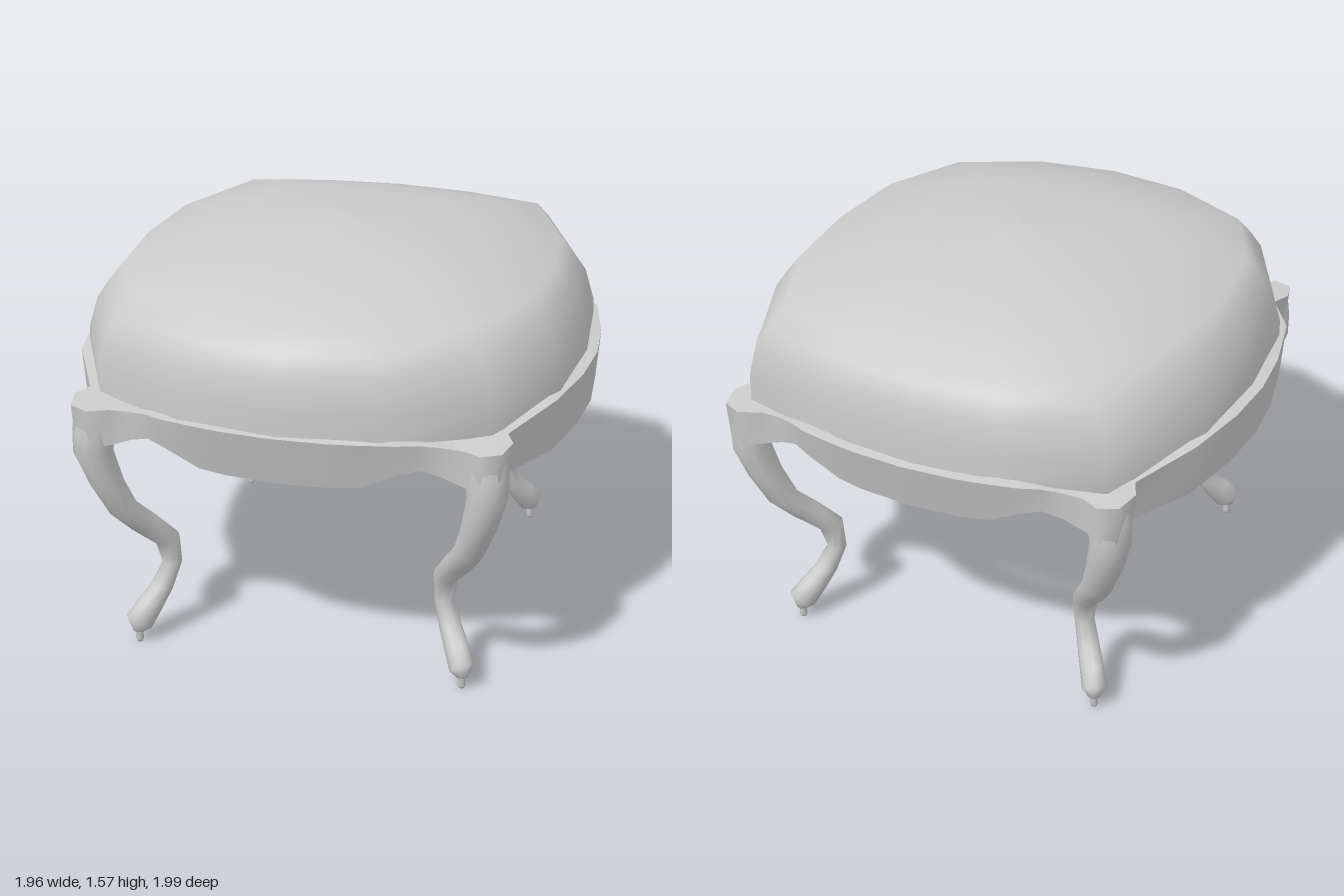
import * as THREE from 'three';

const material = new THREE.MeshStandardMaterial({ color: 0xcccccc, side: THREE.DoubleSide });

// Skin a stack of closed rings (each an array of [x, y, z], running from +z towards +x)
function loft(rings, name) {
  const n = rings[0].length, index = [];
  for (let i = 0; i < rings.length - 1; i++) {
    for (let j = 0; j < n; j++) {
      const k = (j + 1) % n, a = i * n + j, b = i * n + k, c = a + n, d = b + n;
      index.push(a, b, d, a, d, c);
    }
  }
  const geometry = new THREE.BufferGeometry();
  geometry.setAttribute('position', new THREE.Float32BufferAttribute(rings.flat(2), 3));
  geometry.setIndex(index);
  geometry.computeVertexNormals();
  const mesh = new THREE.Mesh(geometry, material);
  mesh.name = name;
  return mesh;
}

// Complete a half outline (front centre to back centre) by mirroring it in x
function mirrorX(half) {
  return half.concat(half.slice(1, -1).reverse().map(([x, ...rest]) => [-x, ...rest]));
}

// Round ring of a leg; tilt raises the side that faces away from the seat centre
function ring(x, y, z, r, tilt = 0) {
  const sides = 10;
  return Array.from({ length: sides }, (_, j) => {
    const a = (j / sides) * Math.PI * 2, dx = r * Math.sin(a), dz = r * Math.cos(a);
    return [x + dx, y + tilt * (dx * Math.sign(x) + dz * Math.sign(z)), z + dz];
  });
}

// Hollow domed cushion
function makeCushion() {
  const outline = mirrorX([
    [0, 0.975], [0.37, 0.925], [0.73, 0.75], [0.91, 0.4], [0.945, 0],
    [0.91, -0.39], [0.72, -0.83], [0.36, -0.92], [0, -0.95],
  ]);
  // Height, x scale, z scale
  const profile = [
    [1.06, 1, 1], [1.17, 0.995, 1], [1.29, 0.955, 0.99], [1.36, 0.905, 0.945], [1.425, 0.85, 0.89],
    [1.49, 0.63, 0.66], [1.535, 0.44, 0.47], [1.557, 0.2, 0.22], [1.57, 0.001, 0.001],
  ];
  return loft(profile.map(([y, sx, sz]) => outline.map(([x, z]) => [x * sx, y, z * sz])), 'cushion');
}

// Scalloped frame, open below, bulging out over each leg
function makeApron() {
  const group = new THREE.Group();
  group.name = 'apron';
  // x, z, top, bottom, inward slope of the lower edge in x and z, ledge scale
  const front = [
    [0, 0.99, 1.07, 0.87, 0, 0.3, 0.97], [0.2, 0.978, 1.07, 0.873, 0, 0.3, 0.965],
    [0.3, 0.962, 1.07, 0.88, 0, 0.3, 0.965], [0.43, 0.935, 1.07, 0.945, 0, 0.25, 0.95],
    [0.5, 0.9, 1.065, 0.96, 0, 0.2, 0.94], [0.57, 0.875, 1.055, 0.94, 0, 0.1, 0.93],
    [0.65, 0.868, 1.05, 0.905, 0, 0.1, 0.9],
  ];
  const corner = [
    [0.72, 0.91, 1.055, 0.9, 0, 0.1, 0.83], [0.79, 0.883, 1.06, 0.9, 0.05, 0.05, 0.82],
    [0.812, 0.79, 1.065, 0.9, 0.1, 0, 0.86],
  ];
  const side = [
    [0.78, 0.72, 1.065, 0.905, 0.07, 0, 0.94], [0.91, 0.48, 1.105, 0.905, 0.07, 0, 0.95],
    [0.965, 0.22, 1.105, 0.905, 0.07, 0, 0.955], [0.982, 0, 1.105, 0.905, 0.07, 0, 0.96],
  ];
  const flip = (list) => list.map(([x, z, ...rest]) => [x, -z * 1.012, ...rest]).reverse();
  const outline = mirrorX([
    ...front, ...corner, ...side, ...flip(side.slice(0, -1)), ...flip(corner), ...flip(front),
  ]);
  const lower = outline.map(([x, z, top, bottom, ix, iz]) => [
    x - Math.sign(x) * ix * (top - bottom), bottom, z - Math.sign(z) * iz * (top - bottom)]);
  const upper = outline.map(([x, z, top]) => [x, top, z]);
  const inner = outline.map(([x, z, top, , , , s]) => [x * s, top + 0.005, z * s]);
  group.add(loft([lower, upper], 'apronWall'), loft([upper, inner], 'apronLedge'));
  return group;
}

function makeLeg(sx, sz) {
  const group = new THREE.Group();
  group.name = (sz > 0 ? 'front' : 'back') + (sx > 0 ? 'Left' : 'Right') + 'Leg';
  // x, y, z, radius, tilt from the foot up to the frame
  const sections = [
    [0.638, 0.05, 0.71, 0.001], [0.638, 0.05, 0.71, 0.026], [0.638, 0.085, 0.71, 0.047, 0.5],
    [0.605, 0.145, 0.665, 0.045, 0.4], [0.572, 0.205, 0.622, 0.042, 0.2], [0.538, 0.3, 0.587, 0.038],
    [0.548, 0.41, 0.605, 0.047, -0.2], [0.61, 0.51, 0.685, 0.054, -0.2], [0.66, 0.6, 0.757, 0.058, -0.1],
    [0.705, 0.73, 0.8, 0.067], [0.735, 0.86, 0.83, 0.074], [0.733, 0.95, 0.825, 0.076],
    [0.725, 1.03, 0.815, 0.076],
  ];
  group.add(loft(sections.map(([x, y, z, r, tilt]) => ring(sx * x, y, sz * z, r, tilt)), 'legShaft'));
  // Small peg under the foot
  const peg = [[0, 0.001], [0, 0.011], [0.012, 0.016], [0.03, 0.014], [0.06, 0.02]];
  group.add(loft(peg.map(([y, r]) => ring(sx * 0.638, y, sz * 0.71, r)), 'footPeg'));
  return group;
}

export function createModel() {
  const model = new THREE.Group();
  model.name = 'footstool';
  model.add(makeCushion(), makeApron());
  for (const sx of [-1, 1]) for (const sz of [-1, 1]) model.add(makeLeg(sx, sz));
  return model;
}
